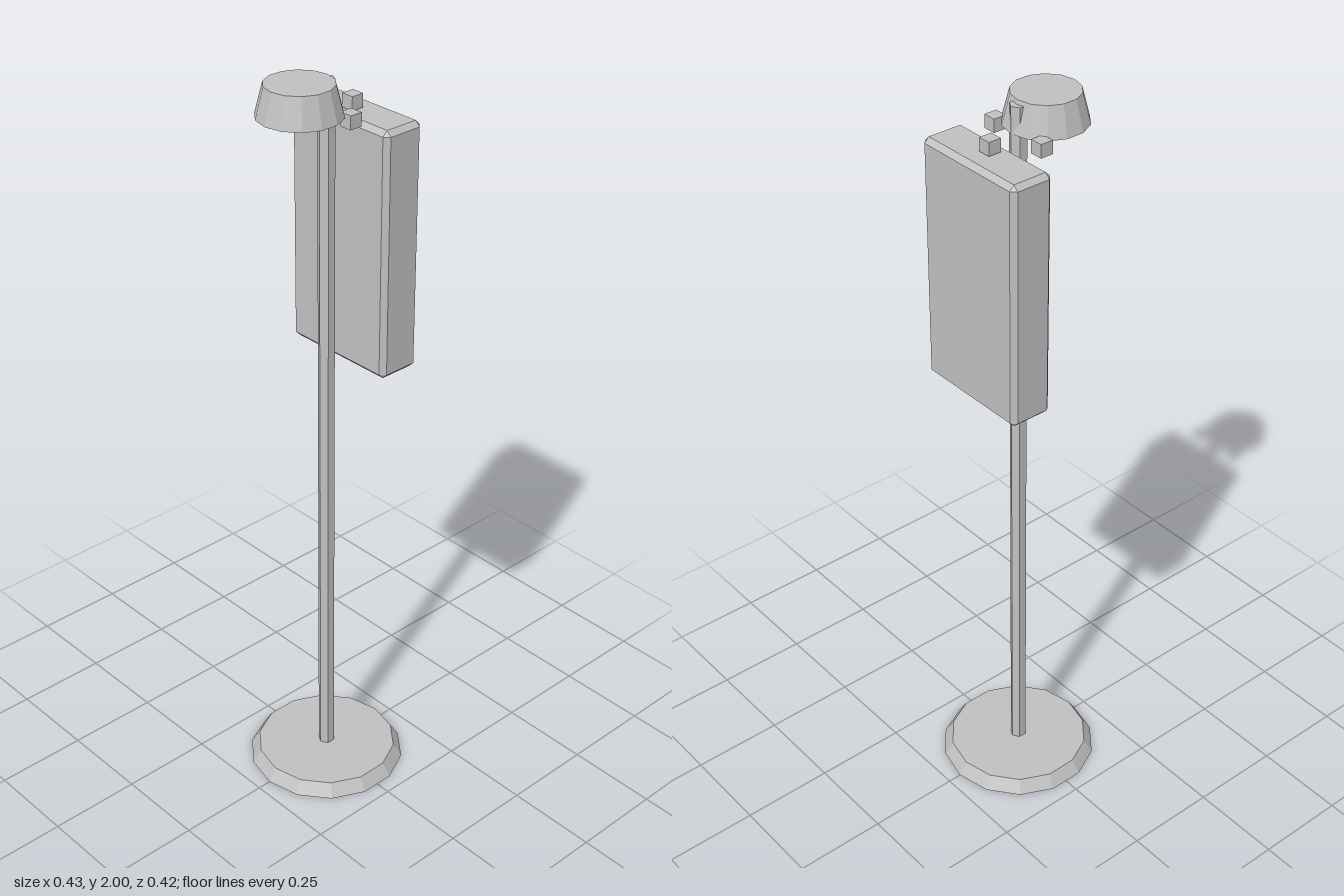
import * as THREE from 'three';
import { ConvexGeometry } from 'three/addons/geometries/ConvexGeometry.js';

const grey = new THREE.MeshStandardMaterial({ color: 0xc0c0c0, flatShading: true });
grey.name = 'pale grey';

function part(name, geometry, x, y, z) {
  const mesh = new THREE.Mesh(geometry, grey);
  mesh.name = name;
  mesh.position.set(x, y, z);
  return mesh;
}

// Faceted tapered drum with one corner pointing along +x
function drum(rTop, rBottom, height, sides) {
  return new THREE.CylinderGeometry(rTop, rBottom, height, sides, 1, false, Math.PI / 2);
}

// Box with every edge chamfered by b
function chamferedBox(w, h, d, b) {
  const points = [];
  for (const sx of [-1, 1]) for (const sy of [-1, 1]) for (const sz of [-1, 1]) {
    for (let full = 0; full < 3; full++) {
      const p = [w, h, d].map((size, i) => size / 2 - (i === full ? 0 : b));
      points.push(new THREE.Vector3(sx * p[0], sy * p[1], sz * p[2]));
    }
  }
  return new ConvexGeometry(points);
}

export function createModel() {
  const model = new THREE.Group();
  model.name = 'postWithPanel';

  // Foot and post
  model.add(part('base', drum(0.19, 0.213, 0.036, 14), 0, 0.018, 0));
  model.add(part('post', drum(0.022, 0.022, 1.96, 6), 0, 1.01, 0));

  // Tapered lamp head to one side of the post
  model.add(part('lampHead', drum(0.085, 0.105, 0.078, 14), -0.083, 1.961, 0));

  // Upright panel on the other side
  model.add(part('panel', chamferedBox(0.118, 0.648, 0.331, 0.013), 0.094, 1.571, 0));

  // Ring of four small blocks around the top of the post
  for (let i = 0; i < 4; i++) {
    const a = (i * Math.PI) / 2;
    const block = new THREE.BoxGeometry(0.035, 0.035, 0.035);
    model.add(part('block' + (i + 1), block, 0.083 * Math.cos(a), 1.915, 0.083 * Math.sin(a)));
  }
  return model;
}
